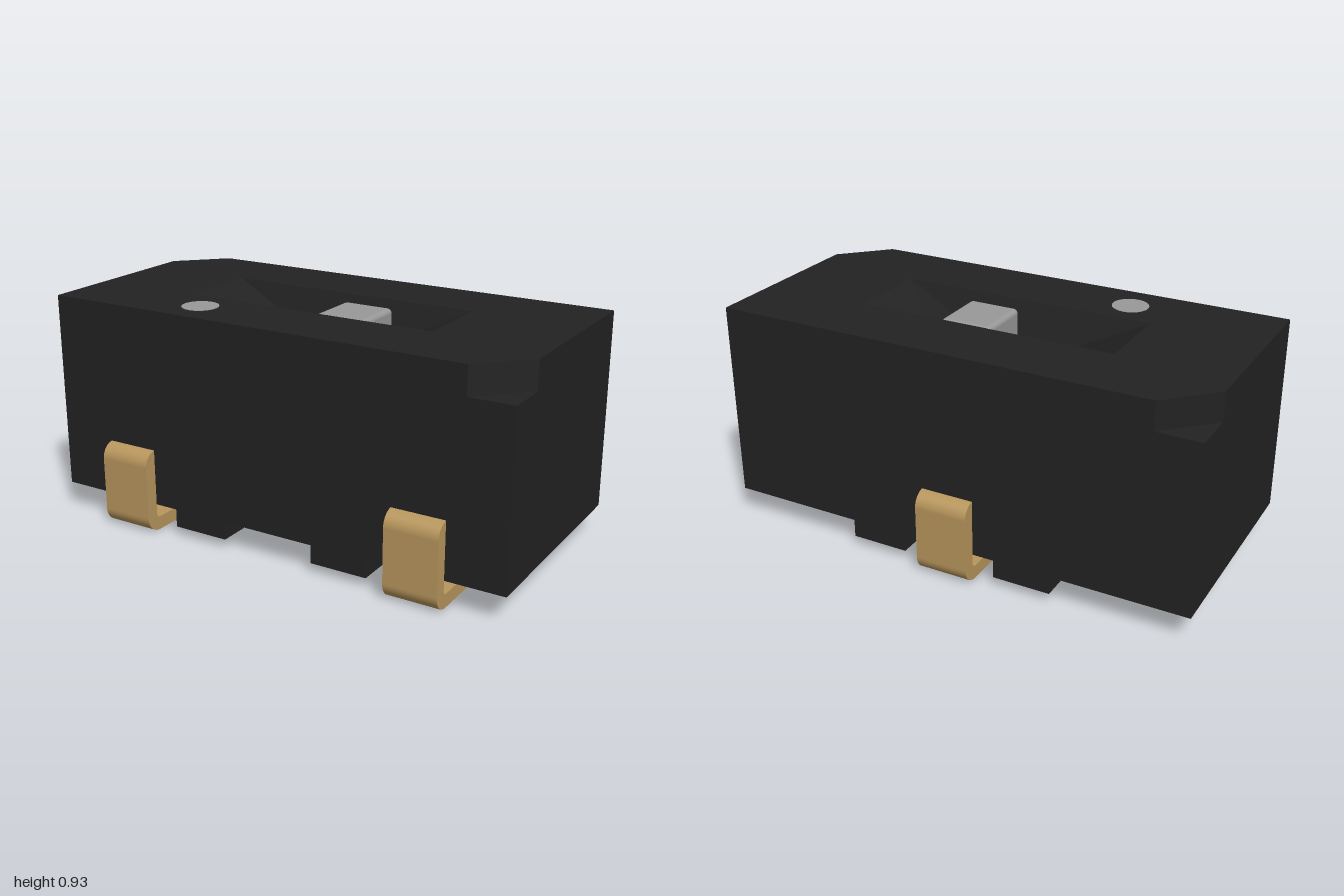
import * as THREE from 'three';
import { RoundedBoxGeometry } from 'three/addons/geometries/RoundedBoxGeometry.js';

const HX = 1, HZ = 0.465, FLOOR = 0.68;

export function createModel() {
  const root = new THREE.Group();
  root.name = 'slideSwitch';
  const mat = (name, color) => {
    const m = new THREE.MeshStandardMaterial({ color });
    m.name = name;
    return m;
  };
  const black = mat('blackPlastic', 0x222222);
  const gold = mat('goldContact', 0xb8965c);
  const grey = mat('greyPlastic', 0x999999);

  const add = (name, geometry, material, x = 0, y = 0, z = 0) => {
    const m = new THREE.Mesh(geometry, material);
    m.name = name;
    m.position.set(x, y, z);
    root.add(m);
    return m;
  };
  const box = (name, material, x0, x1, y0, y1, z0, z1) =>
    add(name, new THREE.BoxGeometry(x1 - x0, y1 - y0, z1 - z0), material,
      (x0 + x1) / 2, (y0 + y1) / 2, (z0 + z1) / 2);

  // Horizontal slab with the slot opening cut through it; points are [x, z]
  const slab = (name, points, y0, y1) => {
    const toShape = (p) => new THREE.Vector2(p[0], -p[1]);
    const shape = new THREE.Shape(points.map(toShape));
    shape.holes.push(new THREE.Path(
      [[-0.54, -0.17], [0.54, -0.17], [0.54, 0.17], [-0.54, 0.17]].map(toShape)));
    const g = new THREE.ExtrudeGeometry(shape, { depth: y1 - y0, bevelEnabled: false });
    g.rotateX(-Math.PI / 2);
    add(name, g, black, 0, y0, 0);
  };

  // Housing: solid base, slotted middle, and a top with two cut corners
  box('housingBase', black, -HX, HX, 0.115, FLOOR, -HZ, HZ);
  slab('housingMiddle', [[-HX, HZ], [HX, HZ], [HX, -HZ], [-HX, -HZ]], FLOOR, 0.815);
  const c = 0.18;
  slab('housingTop', [[-HX, HZ], [HX - c, HZ], [HX, HZ - c],
    [HX, -HZ], [-HX + c, -HZ], [-HX, -HZ + c]], 0.815, 0.93);

  // Slot lining: sloped ramps leading into a straight shaft
  const ring = (x, y, z) => [[-x, y, -z], [x, y, -z], [x, y, z], [-x, y, z]];
  const rings = [ring(0.54, 0.93, 0.17), ring(0.24, 0.785, 0.13), ring(0.24, FLOOR, 0.13)];
  const pos = [];
  for (let r = 0; r < 2; r++) {
    const top = rings[r], low = rings[r + 1];
    for (let i = 0; i < 4; i++) {
      const j = (i + 1) % 4;
      pos.push(...low[i], ...low[j], ...top[j], ...low[i], ...top[j], ...top[i]);
    }
  }
  const lining = new THREE.BufferGeometry();
  lining.setAttribute('position', new THREE.Float32BufferAttribute(pos, 3));
  lining.computeVertexNormals();
  add('slotLining', lining, black);

  // Slider plate, knob and position dot
  box('sliderPlate', grey, -0.24, 0.24, FLOOR, FLOOR + 0.02, -0.13, 0.13);
  add('sliderKnob', new RoundedBoxGeometry(0.22, 0.23, 0.25, 3, 0.02), grey, 0.11, 0.795, 0);
  add('positionDot', new THREE.CylinderGeometry(0.074, 0.074, 0.006, 40), grey, -0.4, 0.929, 0.31);

  // Raised ribs on the underside
  box('undersideBar', black, -0.81, 0.81, 0.04, 0.115, -0.09, 0.09);
  for (const s of [-1, 1]) {
    for (const e of [-1, 1]) {
      box('undersideRib', black, s * 0.32 - 0.12, s * 0.32 + 0.12, 0.04, 0.115,
        e * 0.2775 - 0.1875, e * 0.2775 + 0.1875);
    }
  }

  // Bent contacts: side profile drawn in (z, y), extruded along x
  const profile = new THREE.Shape();
  profile.moveTo(0.205, 0);
  profile.lineTo(0.45, 0);
  profile.absarc(0.45, 0.07, 0.07, -Math.PI / 2, 0, false);
  profile.lineTo(0.52, 0.29);
  profile.absarc(0.46, 0.29, 0.06, 0, Math.PI / 2, false);
  profile.lineTo(0.46, 0.12);
  profile.lineTo(0.465, 0.12);
  profile.lineTo(0.465, 0.075);
  profile.absarc(0.445, 0.075, 0.02, 0, -Math.PI / 2, true);
  profile.lineTo(0.205, 0.055);
  const contact = new THREE.ExtrudeGeometry(profile,
    { depth: 0.22, bevelEnabled: false, curveSegments: 10 });
  contact.translate(0, 0, -0.11);
  contact.rotateY(-Math.PI / 2);
  add('frontLeftContact', contact, gold, 0.65);
  add('frontRightContact', contact, gold, -0.65);
  add('backContact', contact, gold).rotation.y = Math.PI;

  return root;
}
